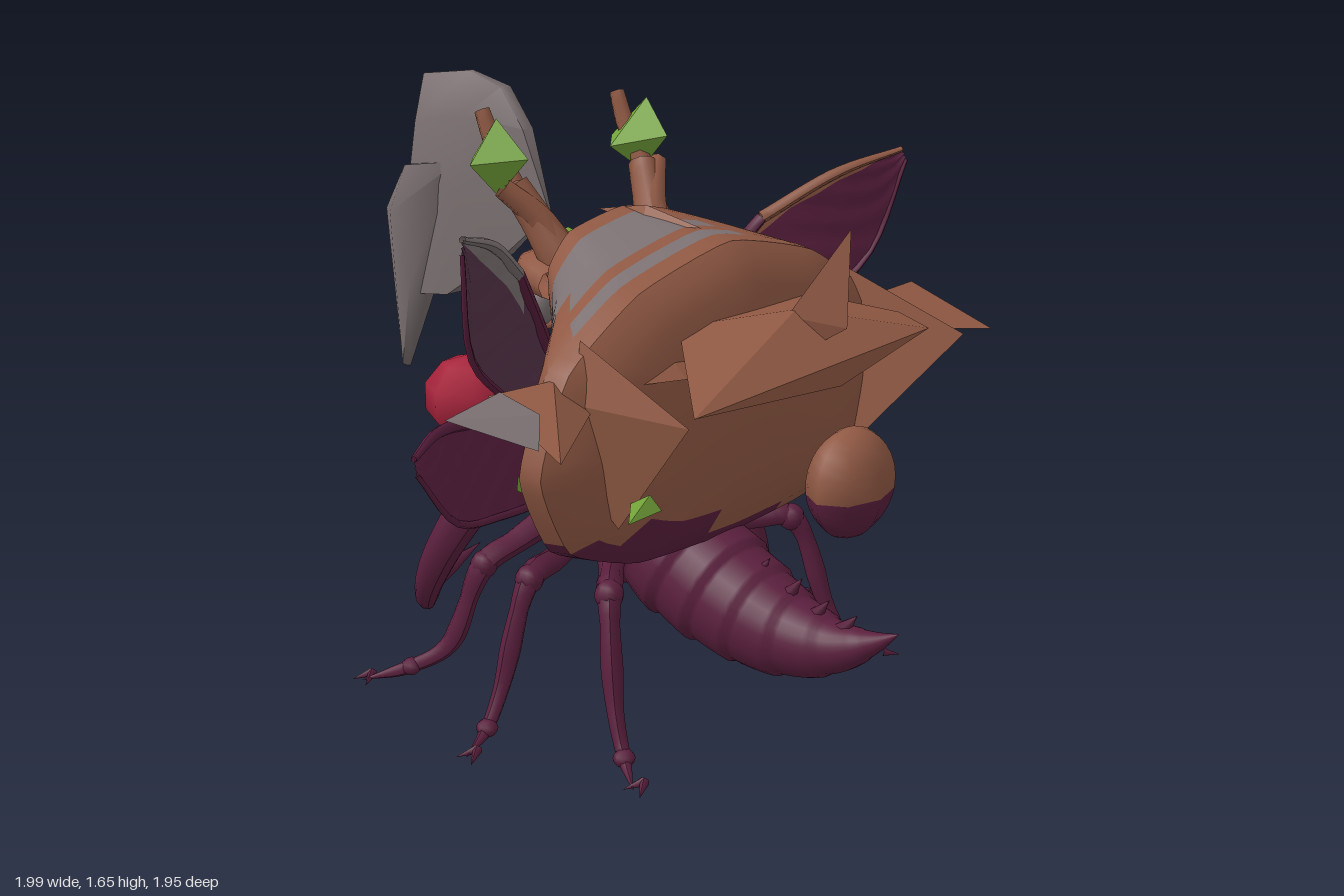
import * as THREE from 'three';
import { toCreasedNormals } from 'three/addons/utils/BufferGeometryUtils.js';
import { ConvexGeometry } from 'three/addons/geometries/ConvexGeometry.js';

const V = (p, s = 1) => new THREE.Vector3(p[0] * s, p[1], p[2]);
const { lerp, clamp } = THREE.MathUtils;

export function createModel() {
  const root = new THREE.Group();
  const mat = (name, color, side = THREE.FrontSide) => {
    const m = new THREE.MeshStandardMaterial({ color, side });
    m.name = name;
    return m;
  };
  const purple = mat('purple chitin', 0x5a1f3d);
  const wingPurple = mat('wing purple', 0x5c2040, THREE.DoubleSide);
  const wingDusk = mat('dusky wing', 0x553349, THREE.DoubleSide);
  const brown = mat('brown bark', 0x8f5843, THREE.DoubleSide);
  const green = mat('leaf green', 0x76a63a);
  const grey = mat('stone grey', 0x7c7172, THREE.DoubleSide);
  const red = mat('berry red', 0xa5213a);

  const add = (name, geometry, material, pos = [0, 0, 0]) => {
    const m = new THREE.Mesh(geometry, material);
    m.name = name;
    m.position.set(...pos);
    root.add(m);
    return m;
  };
  const ball = (name, material, pos, r, w = 20, h = 14) => {
    const m = add(name, new THREE.SphereGeometry(1, w, h), material, pos);
    m.scale.set(...r);
    return m;
  };
  // Tube along a smooth path; radii are interpolated from start to end
  const taper = (name, material, pts, radii, s = 1, seg = 20, sides = 8, ridge = () => 1) => {
    const curve = new THREE.CatmullRomCurve3(pts.map(p => V(p, s)));
    const g = new THREE.TubeGeometry(curve, seg, 1, sides);
    const pos = g.attributes.position, v = new THREE.Vector3();
    for (let i = 0; i <= seg; i++) {
      const u = i / seg, c = curve.getPointAt(u), f = u * (radii.length - 1);
      const k = Math.min(Math.floor(f), radii.length - 2);
      const r = lerp(radii[k], radii[k + 1], f - k) * ridge(u);
      for (let j = 0; j <= sides; j++) {
        const n = i * (sides + 1) + j;
        v.fromBufferAttribute(pos, n).sub(c).multiplyScalar(r).add(c);
        pos.setXYZ(n, v.x, v.y, v.z);
      }
    }
    g.computeVertexNormals();
    return add(name, g, material);
  };
  const hull = (name, material, pts, s = 1) => add(name, new ConvexGeometry(pts.map(p => V(p, s))), material);
  const spike = (name, material, from, to, r) => taper(name, material, [from, to], [r, r * 0.5, 0], 1, 6, 6);

  // Segmented abdomen with a curved tail and back spines
  taper('abdomen', purple,
    [[0, 0.55, 0], [0, 0.46, 0.15], [0, 0.37, 0.32], [0, 0.31, 0.48], [0, 0.28, 0.63], [0, 0.29, 0.78], [0, 0.34, 0.9], [0, 0.39, 0.98]],
    [0.15, 0.18, 0.18, 0.165, 0.14, 0.1, 0.05, 0], 1, 72, 24, u => 0.97 + 0.08 * ((u * 9) % 1));
  [[0.42, 0.44], [0.53, 0.42], [0.64, 0.4], [0.73, 0.37], [0.82, 0.36]].forEach(([z, y], i) =>
    spike('backSpine', purple, [0, y - 0.03, z - 0.03], [0, y + 0.06 - i * 0.005, z + 0.03], 0.03));

  // Thorax, neck collar and head
  ball('thorax', purple, [0, 0.59, 0.02], [0.19, 0.2, 0.22]);
  ball('collar', purple, [0, 0.64, -0.16], [0.2, 0.15, 0.13]);
  ball('head', purple, [0, 0.61, -0.32], [0.2, 0.13, 0.145]);
  spike('thoraxHorn', purple, [0, 0.72, -0.08], [0, 0.94, -0.1], 0.06);
  ball('thoraxKnob', purple, [0, 0.76, -0.02], [0.12, 0.08, 0.1]);
  spike('browHorn', purple, [0, 0.7, -0.24], [0, 0.86, -0.22], 0.03);

  // Legs as hip, knee, ankle, foot
  const legs = {
    frontLeg: [[0.1, 0.48, -0.1], [0.28, 0.41, -0.13], [0.38, 0.36, -0.16], [0.47, 0.12, -0.22], [0.55, 0.06, -0.29], [0.66, 0.025, -0.38]],
    middleLeg: [[0.1, 0.48, -0.02], [0.3, 0.42, 0.05], [0.44, 0.41, 0.09], [0.56, 0.13, 0.1], [0.63, 0.05, 0.12], [0.74, 0.02, 0.16]],
    backLeg: [[0.1, 0.45, 0.06], [0.28, 0.42, 0.24], [0.38, 0.42, 0.33], [0.45, 0.14, 0.42], [0.48, 0.04, 0.48], [0.55, 0.015, 0.58]],
  };
  for (const s of [1, -1]) {
    for (const [name, p] of Object.entries(legs)) {
      taper(name, purple, p, [0.055, 0.042, 0.034, 0.036, 0.026, 0.03, 0.022, 0.018, 0], s, 36, 8);
      ball(name + 'Knee', purple, [p[2][0] * s, p[2][1], p[2][2]], [0.04, 0.04, 0.04], 10, 8);
      ball(name + 'Ankle', purple, [p[4][0] * s, p[4][1], p[4][2]], [0.03, 0.025, 0.03], 8, 6);
      for (const d of [-0.03, 0.03]) {
        const [x, y, z] = p[5];
        spike('claw', purple, [(x - 0.04) * s, y + 0.01, z], [(x + 0.01) * s, y - 0.005, z + d], 0.014);
      }
    }
    // Sickle mandible with an inner tooth
    taper('mandible', purple,
      [[0.1, 0.63, -0.2], [0.24, 0.55, -0.27], [0.33, 0.36, -0.37], [0.335, 0.2, -0.46], [0.28, 0.09, -0.54], [0.2, 0.04, -0.6]],
      [0.07, 0.07, 0.06, 0.05, 0.035, 0], s, 28, 10);
    taper('mandibleTooth', purple, [[0.33, 0.2, -0.47], [0.23, 0.2, -0.5], [0.1, 0.25, -0.49]], [0.04, 0.025, 0], s, 10, 6);
    // Eyes and bead-tipped feelers
    taper('feeler', purple, [[0.06, 0.68, -0.26], [0.08, 0.8, -0.27], [0.08, 0.9, -0.26]], [0.02, 0.014, 0.012], s, 8, 6);
    ball('feelerBead', grey, [0.08 * s, 0.91, -0.26], [0.025, 0.025, 0.025], 8, 6);
    ball('eye', purple, [0.14 * s, 0.65, -0.38], [0.045, 0.045, 0.045], 12, 8);
  }

  // Wings: rippled surface between a leading and a trailing edge, with a rim strip of some rows
  const wing = (name, lead, trail, s, skin, rim, rows) => {
    const a = new THREE.CatmullRomCurve3(lead.map(p => V(p, s)));
    const b = new THREE.CatmullRomCurve3(trail.map(p => V(p, s)));
    const g = new THREE.PlaneGeometry(1, 1, 24, 10), pos = g.attributes.position;
    for (let i = 0; i < pos.count; i++) {
      const u = pos.getX(i) + 0.5, v = pos.getY(i) + 0.5;
      const p = a.getPoint(u).lerp(b.getPoint(u), v);
      pos.setXYZ(i, p.x, p.y, p.z + 0.005 * Math.sin(u * 40) * Math.sin(v * 18));
    }
    g.computeVertexNormals();
    for (let row = 0; row < 10; row++) {
      const inner = row < 10 - rows ? 24 : 10;
      g.addGroup(row * 144, inner * 6, 0);
      if (inner < 24) g.addGroup(row * 144 + inner * 6, (24 - inner) * 6, 1);
    }
    add(name, g, [skin, rim]);
    taper(name + 'Root', purple, lead.slice(0, 3), [0.03, 0.022, 0.018], s, 12, 6);
    taper(name + 'LeadingVein', rim, lead.slice(2), [0.018, 0.016, 0.008], s, 14, 6);
    taper(name + 'TrailingVein', purple, trail, [0.02, 0.012, 0.01, 0.006], s, 20, 6);
  };
  for (const s of [1, -1]) {
    wing('upperWing',
      [[0.12, 0.72, -0.06], [0.3, 1.03, 0.01], [0.48, 1.26, 0.11], [0.67, 1.38, 0.23], [0.85, 1.44, 0.33]],
      [[0.12, 0.64, 0.0], [0.45, 0.87, 0.12], [0.64, 1.0, 0.22], [0.79, 1.14, 0.28], [0.86, 1.41, 0.34]],
      s, s > 0 ? wingPurple : wingDusk, s > 0 ? brown : grey, s > 0 ? 1 : 2);
    wing('lowerWing',
      [[0.12, 0.67, -0.02], [0.4, 0.83, 0.05], [0.65, 0.92, 0.14], [0.85, 0.955, 0.22], [0.98, 0.94, 0.29]],
      [[0.12, 0.6, 0.02], [0.4, 0.63, 0.11], [0.62, 0.67, 0.19], [0.83, 0.73, 0.26], [0.99, 0.91, 0.31]],
      s, wingPurple, wingPurple, 0);
  }

  // Great shell: sections from back to front, each blending two outlines
  const N = 60;
  const outline = half => {
    const left = half.slice(1, -1).reverse().map(([x, y]) => [-x, y]);
    const pts = [...half, ...left].map(([x, y]) => new THREE.Vector3(x, y, 0));
    return new THREE.CatmullRomCurve3(pts, true, 'catmullrom', 0.25).getPoints(N).slice(0, N);
  };
  const wide = outline([[0, 1.32], [0.35, 1.24], [0.6, 1.08], [0.7, 0.83], [0.6, 0.61], [0.35, 0.51], [0, 0.49]]);
  const narrow = outline([[0, 1.35], [0.2, 1.31], [0.28, 1.22], [0.27, 1.09], [0.2, 0.99], [0.1, 0.94], [0, 0.93]]);
  const rings = [[0.05, 0, 0], [0.03, 0, 0.6], [0.01, 0, 1], [0.07, 0.12, 1], [0.13, 0.27, 1], [0.19, 0.46, 1], [0.25, 0.7, 1], [0.29, 0.85, 1],
    [0.34, 1, 1], [0.4, 1, 0.98], [0.44, 1, 0.88], [0.47, 1, 0.72], [0.49, 1, 0.5], [0.505, 1, 0.25], [0.51, 1, 0]]
    .map(([z, blend, k]) => narrow.map((p, j) => {
      const q = p.clone().lerp(wide[j], blend), mid = lerp(1.12, 0.93, blend);
      return new THREE.Vector3(q.x * k, mid + (q.y - mid) * k, z);
    }));
  const faces = { shell: [], shellUnderside: [], shellPatch: [] };
  for (let i = 0; i < rings.length - 1; i++) for (let j = 0; j < N; j++) {
    const n = (j + 1) % N, a = rings[i][j], b = rings[i][n], c = rings[i + 1][j], d = rings[i + 1][n];
    const m = a.clone().add(b).add(c).add(d).divideScalar(4);
    const low = m.y < (m.z < 0.33 ? 0.9 : 0.53 + 0.1 * clamp(-m.x / 0.25, 0, 1));
    const patch = m.y > 1.1 && (m.z > 0.07 && m.z < 0.25 ? m.x > -0.42 && m.x < 0.04 + (m.z - 0.15) : m.z > 0.3 && m.z < 0.36 && m.x > -0.5 && m.x < 0.12);
    faces[low ? 'shellUnderside' : patch ? 'shellPatch' : 'shell'].push(a, c, b, b, c, d);
  }
  const shellMats = { shell: brown, shellUnderside: purple, shellPatch: grey };
  for (const [name, pts] of Object.entries(faces)) {
    add(name, toCreasedNormals(new THREE.BufferGeometry().setFromPoints(pts), 0.6), shellMats[name]);
  }

  // Shards jutting out of the shell
  hull('frontShard', brown, [[-0.52, 1.03, 0.74], [0.36, 1.08, 0.78], [0.41, 1.09, 0.65], [0, 1.17, 0.62], [-0.22, 1.13, 0.42], [0.28, 1.13, 0.42], [0, 1.0, 0.77], [0, 1.0, 0.45]]);
  hull('ridgeBand', brown, [[-0.62, 1.03, 0.38], [0.57, 1.04, 0.4], [0.3, 1.14, 0.42], [-0.3, 1.12, 0.42], [-0.3, 1.03, 0.52], [0.3, 1.04, 0.52]]);
  hull('crestShard', brown, [[0, 1.4, 0.78], [0, 1.15, 0.78], [-0.01, 1.15, 0.6], [0.01, 1.15, 0.6], [0.012, 1.1, 0.7]]);
  hull('topRidge', brown, [[0, 1.33, -0.08], [0, 1.33, 0.3], [0.035, 1.32, 0.12], [-0.035, 1.32, 0.12], [0, 1.365, 0.1]]);
  hull('sideShard', brown, [[0.55, 1.0, 0.3], [0.89, 1.04, 0.36], [0.85, 0.96, 0.67], [0.52, 0.99, 0.48], [0.6, 1.05, 0.4]]);
  hull('sideShard', brown, [[-0.5, 1.0, 0.26], [-0.75, 1.04, 0.29], [-0.83, 0.97, 0.62], [-0.52, 0.99, 0.42], [-0.6, 1.06, 0.36]]);
  hull('sideShardTip', grey, [[-0.96, 1.05, 0.38], [-0.72, 1.045, 0.3], [-0.74, 1.03, 0.46], [-0.84, 0.99, 0.56], [-0.77, 1.01, 0.4]]);
  for (const s of [1, -1]) {
    hull('flankShard', brown, [[0.53, 1.15, 0.38], [0.5, 0.75, 0.38], [0.56, 1.02, 0.76], [0.5, 0.68, 0.48], [0.57, 1.0, 0.4]], s);
  }
  hull('flankLeaf', green, [[-0.56, 0.83, 0.64], [-0.52, 0.77, 0.54], [-0.57, 0.74, 0.58], [-0.54, 0.79, 0.66]]);
  hull('rearLeaf', green, [[-0.64, 0.8, 0.27], [-0.58, 0.73, 0.2], [-0.6, 0.73, 0.32], [-0.54, 0.79, 0.25]]);

  // Floating egg with a dark lower end
  const egg = (name, m, start, len) => {
    const e = add(name, new THREE.SphereGeometry(1, 8, 8, 0, Math.PI * 2, start, len), m, [0, 0.755, 0.81]);
    e.scale.set(0.14, 0.145, 0.095);
  };
  egg('egg', brown, 0, Math.PI * 0.55);
  egg('eggEnd', purple, Math.PI * 0.55, Math.PI * 0.45);

  // Antlers tipped with leaf buds, joined by a curved branch
  for (const s of [1, -1]) {
    taper('antler', brown, [[0.16, 1.14, 0.02], [0.2, 1.27, -0.06], [0.25, 1.42, -0.15]], [0.06, 0.06, 0.045, 0.04], s, 10, 8);
    taper('antlerProng', brown, [[0.17, 1.2, -0.02], [0.22, 1.33, -0.08], [0.3, 1.42, -0.14]], [0.05, 0.04, 0.03], s, 8, 6);
    taper('antlerTwig', brown, [[0.25, 1.42, -0.15], [0.255, 1.52, -0.22], [0.26, 1.61, -0.26]], [0.03, 0.028, 0.026, 0.022], s, 8, 6);
    hull('leafBud', green, [[0.29, 1.6, -0.17], [0.36, 1.48, -0.2], [0.27, 1.48, -0.29], [0.16, 1.47, -0.19], [0.27, 1.5, -0.07], [0.28, 1.39, -0.18]], s);
    ball('charmBead', grey, [0.1 * s, 1.05, -0.2], [0.045, 0.055, 0.03], 10, 8);
    const ring = add('charmRing', new THREE.TorusGeometry(0.06, 0.013, 6, 16), brown, [0.1 * s, 1.05, -0.2]);
    ring.rotation.y = 0.5 * s;
  }
  taper('branch', brown, [[-0.25, 1.17, 0.0], [-0.2, 1.18, -0.13], [0, 1.18, -0.19], [0.2, 1.18, -0.13], [0.25, 1.17, 0.0]], [0.045, 0.055, 0.05, 0.05, 0.055, 0.045], 1, 24, 8);
  ball('centreBud', green, [0, 1.18, -0.2], [0.075, 0.08, 0.055], 6, 4);

  // Hooked stone blade on a thin shaft
  taper('shaft', purple, [[0, 0.8, -0.12], [0, 1.08, -0.63]], [0.012, 0.02, 0.028], 1, 8, 8);
  const both = pts => pts.flatMap(([z, y, w]) => [[w, y, z], [-w, y, z]]);
  const slab = (name, material, pts) => {
    const m = hull(name, material, both(pts));
    m.geometry = toCreasedNormals(m.geometry, 1.4);
  };
  slab('blade', grey, [[-0.27, 1.29, 0.004], [-0.36, 1.52, 0.02], [-0.45, 1.63, 0.02], [-0.6, 1.665, 0.012], [-0.8, 1.64, 0.01],
    [-0.58, 1.54, 0.048], [-0.8, 1.5, 0.05], [-0.83, 1.36, 0.05], [-0.83, 0.96, 0.03], [-0.7, 0.98, 0.03], [-0.45, 1.14, 0.02], [-0.62, 1.3, 0.055]]);
  slab('bladeHook', grey, [[-0.62, 1.4, 0.04], [-0.82, 1.37, 0.08], [-0.94, 1.22, 0.06], [-0.88, 1.22, 0.095], [-0.84, 1.0, 0.06],
    [-0.93, 0.7, 0.004], [-0.96, 0.7, 0.004]]);
  hull('hookBarb', brown, both([[-0.92, 1.28, 0.008], [-0.94, 1.3, 0.006], [-0.97, 1.22, 0.006], [-0.92, 1.22, 0.01]]));

  // Berry held before the head
  ball('berry', red, [0, 0.66, -0.63], [0.155, 0.14, 0.155], 7, 5);

  return root;
}
